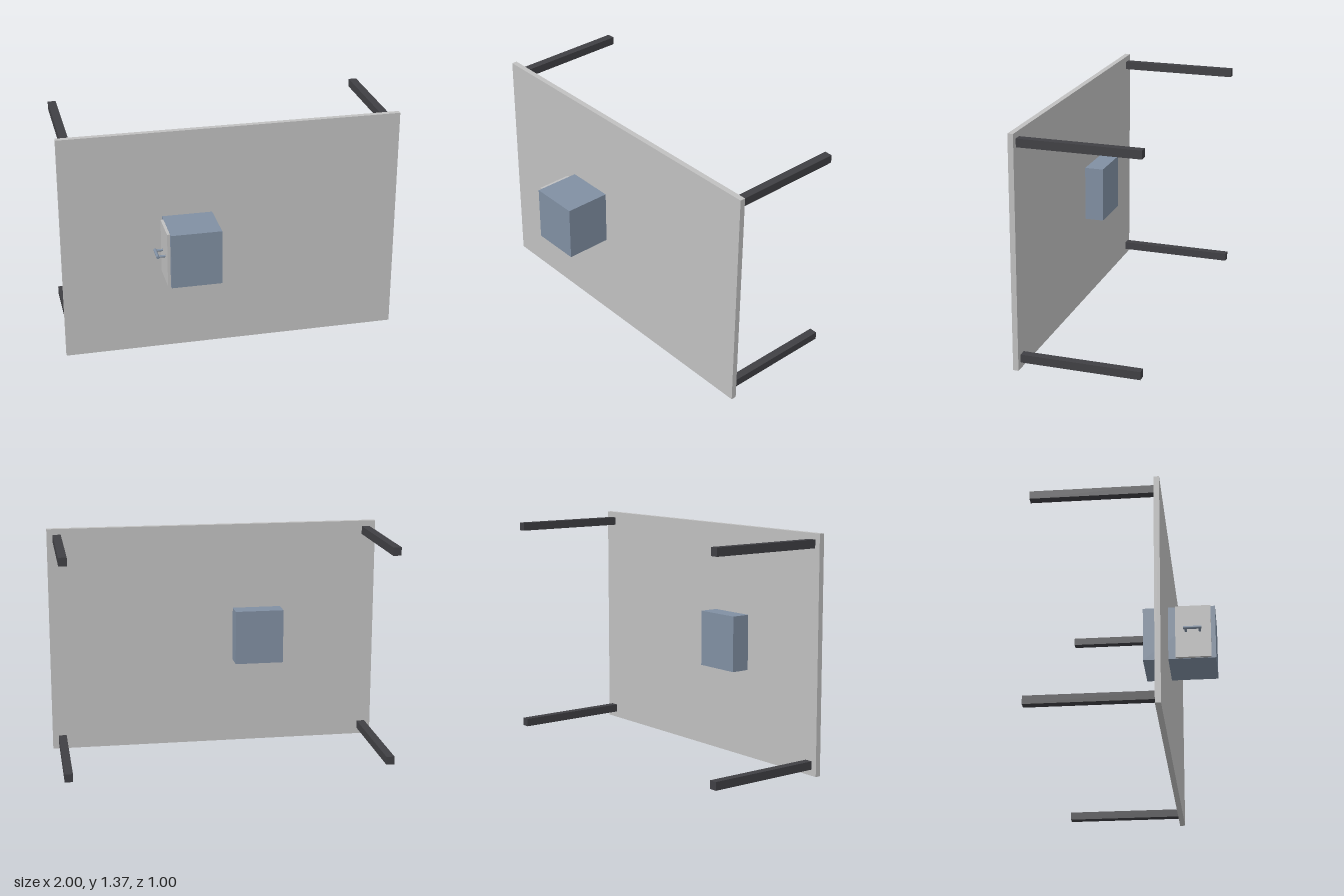
import * as THREE from 'three';

export function createModel() {
  const model = new THREE.Group();
  const mat = (name, color) => {
    const m = new THREE.MeshStandardMaterial({ color });
    m.name = name;
    return m;
  };
  const panelGrey = mat('panel grey', 0xc0c0c0);
  const steelBlue = mat('steel blue', 0x808fa2);
  const charcoal = mat('charcoal', 0x404044);

  const add = (name, geometry, material, x, y, z) => {
    const mesh = new THREE.Mesh(geometry, material);
    mesh.name = name;
    mesh.position.set(x, y, z);
    model.add(mesh);
    return mesh;
  };
  // Box given by its lower and upper corners
  const box = (name, material, [x0, y0, z0], [x1, y1, z1]) =>
    add(name, new THREE.BoxGeometry(x1 - x0, y1 - y0, z1 - z0), material,
      (x0 + x1) / 2, (y0 + y1) / 2, (z0 + z1) / 2);

  // Upright tabletop with four legs pointing backwards
  box('tabletop', panelGrey, [-1, 0, 0.198], [1, 1.367, 0.23]);
  const legGeometry = new THREE.BoxGeometry(0.048, 0.048, 0.698);
  for (const x of [-0.941, 0.941]) {
    for (const y of [0.06, 1.309]) add('leg', legGeometry, charcoal, x, y, -0.151);
  }

  // Cabinet passing through the tabletop, with a drawer front on its right side
  box('cabinet', steelBlue, [-0.411, 0.522, 0.085], [-0.117, 0.85, 0.502]);
  box('drawerFront', panelGrey, [-0.428, 0.524, 0.272], [-0.411, 0.848, 0.476]);

  // Bar handle on two posts
  const bar = add('handleBar', new THREE.CylinderGeometry(0.009, 0.009, 0.104, 20),
    steelBlue, -0.473, 0.686, 0.373);
  bar.rotation.x = Math.PI / 2;
  for (const z of [0.333, 0.413]) {
    const post = add('handlePost', new THREE.CylinderGeometry(0.007, 0.007, 0.045, 16),
      steelBlue, -0.45, 0.686, z);
    post.rotation.z = Math.PI / 2;
  }
  return model;
}
